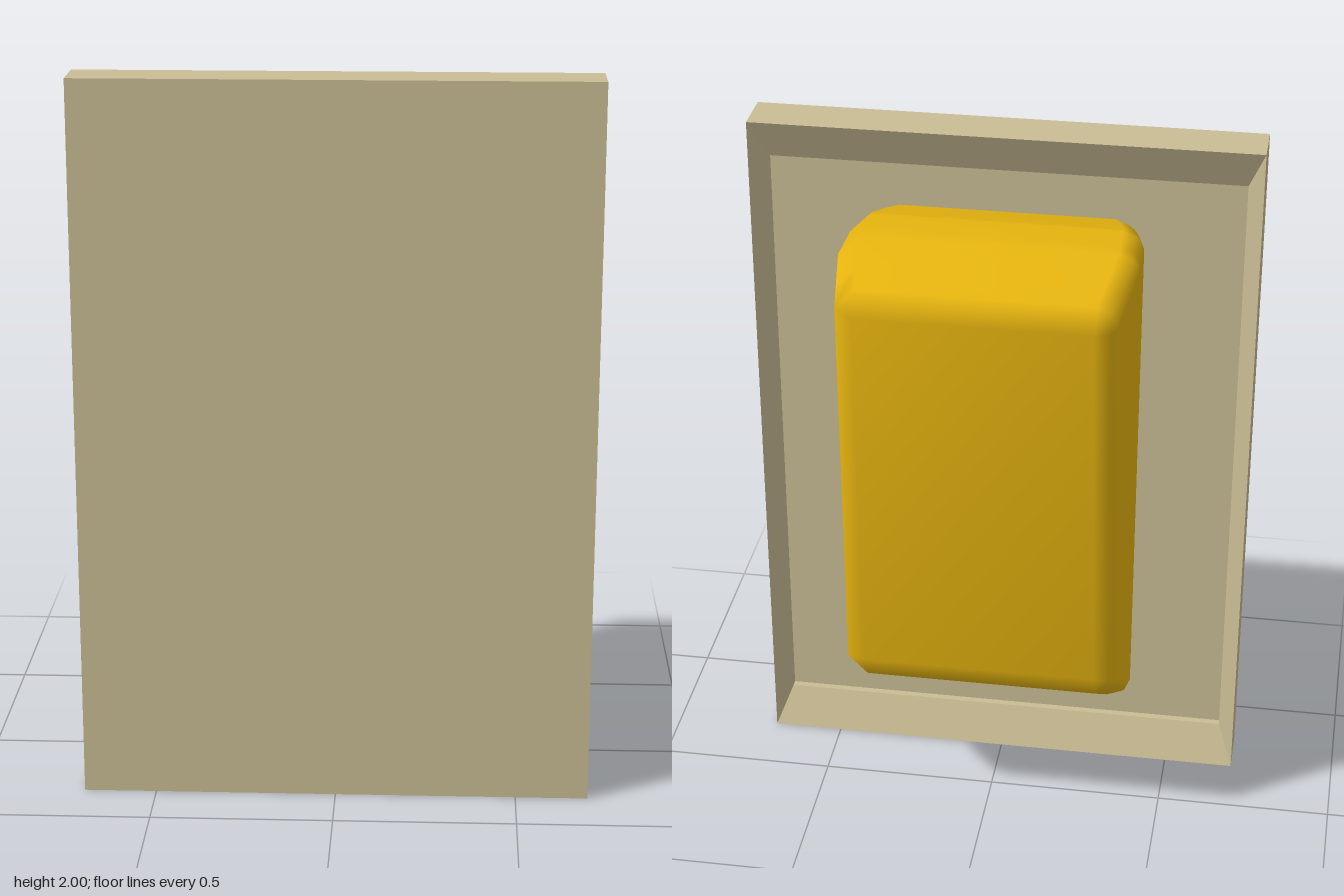
import * as THREE from 'three';
import { mergeVertices } from 'three/addons/utils/BufferGeometryUtils.js';

// Collects quads into a geometry, flat or with welded smooth normals
function makeSurface() {
  const pos = [];
  return {
    quad(a, b, c, d) {
      for (const p of [a, b, c, a, c, d]) pos.push(...p);
    },
    build(smooth) {
      let geo = new THREE.BufferGeometry();
      geo.setAttribute('position', new THREE.Float32BufferAttribute(pos, 3));
      if (smooth) geo = mergeVertices(geo, 1e-4);
      geo.computeVertexNormals();
      return geo;
    },
  };
}

function addMesh(group, name, geometry, color) {
  const mesh = new THREE.Mesh(geometry, new THREE.MeshStandardMaterial({ color }));
  mesh.name = name;
  group.add(mesh);
}

// Wall plate: flat front, with a bevelled recess and small step in the back
function plateGeometry() {
  const s = makeSurface();
  // [half width, half height, z]
  const rings = [[0.7, 1, 0.33], [0.7, 1, 0.19], [0.655, 0.885, 0.24], [0.655, 0.885, 0.26]]
    .map(([w, h, z]) => [[-w, 1 - h, z], [w, 1 - h, z], [w, 1 + h, z], [-w, 1 + h, z]]);
  s.quad(...rings[0]);
  for (let k = 0; k < rings.length - 1; k++) {
    const a = rings[k], b = rings[k + 1];
    for (let i = 0; i < 4; i++) {
      const j = (i + 1) % 4;
      s.quad(b[i], b[j], a[j], a[i]);
    }
  }
  s.quad(...[...rings[rings.length - 1]].reverse());
  return s.build(false);
}

// Rocker: side columns as [z, top, bottom, half width]
const COLUMNS = [
  [0.27, 1.695, 0.305, 0.35],
  [0.19, 1.72, 0.325, 0.375],
  [0.1, 1.747, 0.35, 0.395],
  [0.07, 1.755, 0.37, 0.396],
  [-0.02, 1.755, 0.43, 0.398],
  [-0.07, 1.755, 0.465, 0.4],
  [-0.19, 1.722, 0.55, 0.382],
  [-0.27, 1.7, 1.7, 0.37],
];
const BEVEL = 0.055;

function addSide(s, sign) {
  for (let i = 0; i < COLUMNS.length - 1; i++) {
    const [z0, t0, b0, w0] = COLUMNS[i], [z1, t1, b1, w1] = COLUMNS[i + 1];
    const q = [[sign * w0, t0, z0], [sign * w0, b0, z0], [sign * w1, b1, z1], [sign * w1, t1, z1]];
    s.quad(...(sign > 0 ? q : q.reverse()));
  }
}

// Rounded shell: top, outer face and underside, with the right side blended in
function rockerShellGeometry() {
  const s = makeSurface();
  // Each entry: side edge (z, y), outer edge (z, y), half width
  const loop = COLUMNS.map(([z, t, , w]) => [z, t, z, t + BEVEL, w]);
  loop.push([-0.27, 1.7, -0.325, 1.7, 0.37], [-0.19, 0.55, -0.245, 0.58, 0.382]);
  for (const [z, , b, w] of COLUMNS.slice(0, -1).reverse()) loop.push([z, b, z, b - BEVEL, w]);

  const section = ([zi, yi, zo, yo, w]) => {
    const m = 0.29; // rounds the bevel on the blended side
    const mid = [-(w - BEVEL * m), yi + (yo - yi) * (1 - m), zi + (zo - zi) * (1 - m)];
    return [[-w, yi, zi], mid, [-(w - BEVEL), yo, zo], [w - BEVEL, yo, zo], [w, yi, zi]];
  };
  for (let i = 0; i < loop.length - 1; i++) {
    const a = section(loop[i]), b = section(loop[i + 1]);
    for (let k = 0; k < a.length - 1; k++) s.quad(a[k], a[k + 1], b[k + 1], b[k]);
  }
  addSide(s, -1);
  return s.build(true);
}

// Left side: faceted panel with a hard edge
function rockerSideGeometry() {
  const s = makeSurface();
  addSide(s, 1);
  return s.build(false);
}

export function createModel() {
  const group = new THREE.Group();
  group.name = 'rockerSwitch';
  addMesh(group, 'wallPlate', plateGeometry(), 0xcabd95);

  const rocker = new THREE.Group();
  rocker.name = 'rocker';
  addMesh(rocker, 'rockerShell', rockerShellGeometry(), 0xe6b40f);
  addMesh(rocker, 'rockerLeftSide', rockerSideGeometry(), 0xe6b40f);
  group.add(rocker);
  return group;
}
